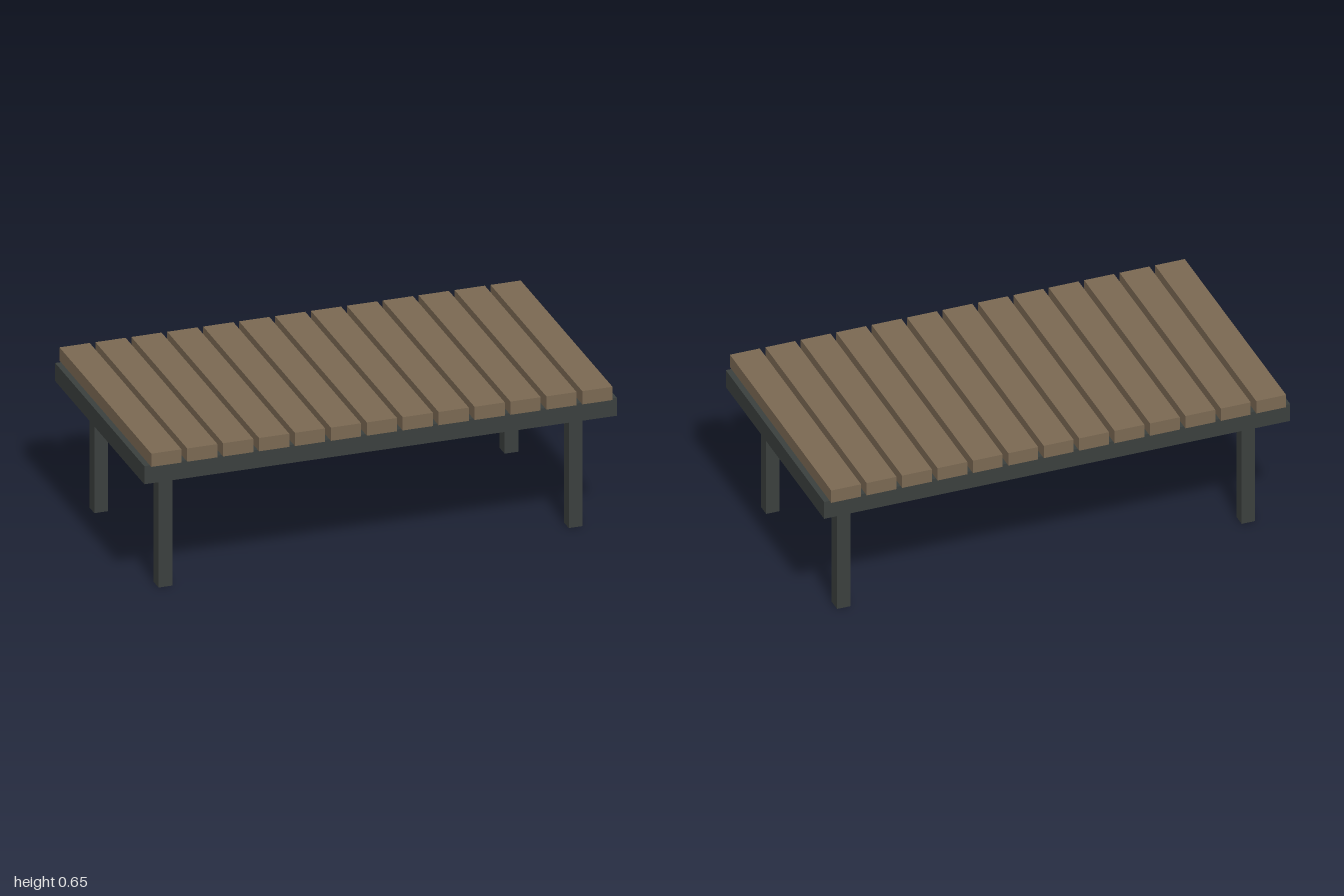
import * as THREE from 'three';

export function createModel() {
  const model = new THREE.Group();
  model.name = 'slattedTable';
  const wood = new THREE.MeshStandardMaterial({ color: 0x7a6852 });
  const metal = new THREE.MeshStandardMaterial({ color: 0x3a3f3d });

  const legHeight = 0.518, frameHeight = 0.079, slatHeight = 0.058;

  // Adds a box standing on the height y
  function addBox(name, material, [w, h, d], [x, y, z]) {
    const mesh = new THREE.Mesh(new THREE.BoxGeometry(w, h, d), material);
    mesh.name = name;
    mesh.position.set(x, y + h / 2, z);
    model.add(mesh);
  }

  // Solid base under the slats
  addBox('frame', metal, [2, frameHeight, 1.066], [0, legHeight, 0]);

  // Four square legs, set in from the corners
  for (const [side, sx] of [['Left', 1], ['Right', -1]]) {
    for (const [end, sz] of [['front', 1], ['back', -1]]) {
      addBox(`${end}${side}Leg`, metal, [0.058, legHeight, 0.058], [sx * 0.868, 0, sz * 0.384]);
    }
  }

  // Row of wooden slats across the top
  const count = 13, pitch = 0.152;
  for (let i = 0; i < count; i++) {
    const x = (i - (count - 1) / 2) * pitch;
    addBox(`slat${i + 1}`, wood, [0.128, slatHeight, 1.098], [x, legHeight + frameHeight, 0]);
  }

  return model;
}
